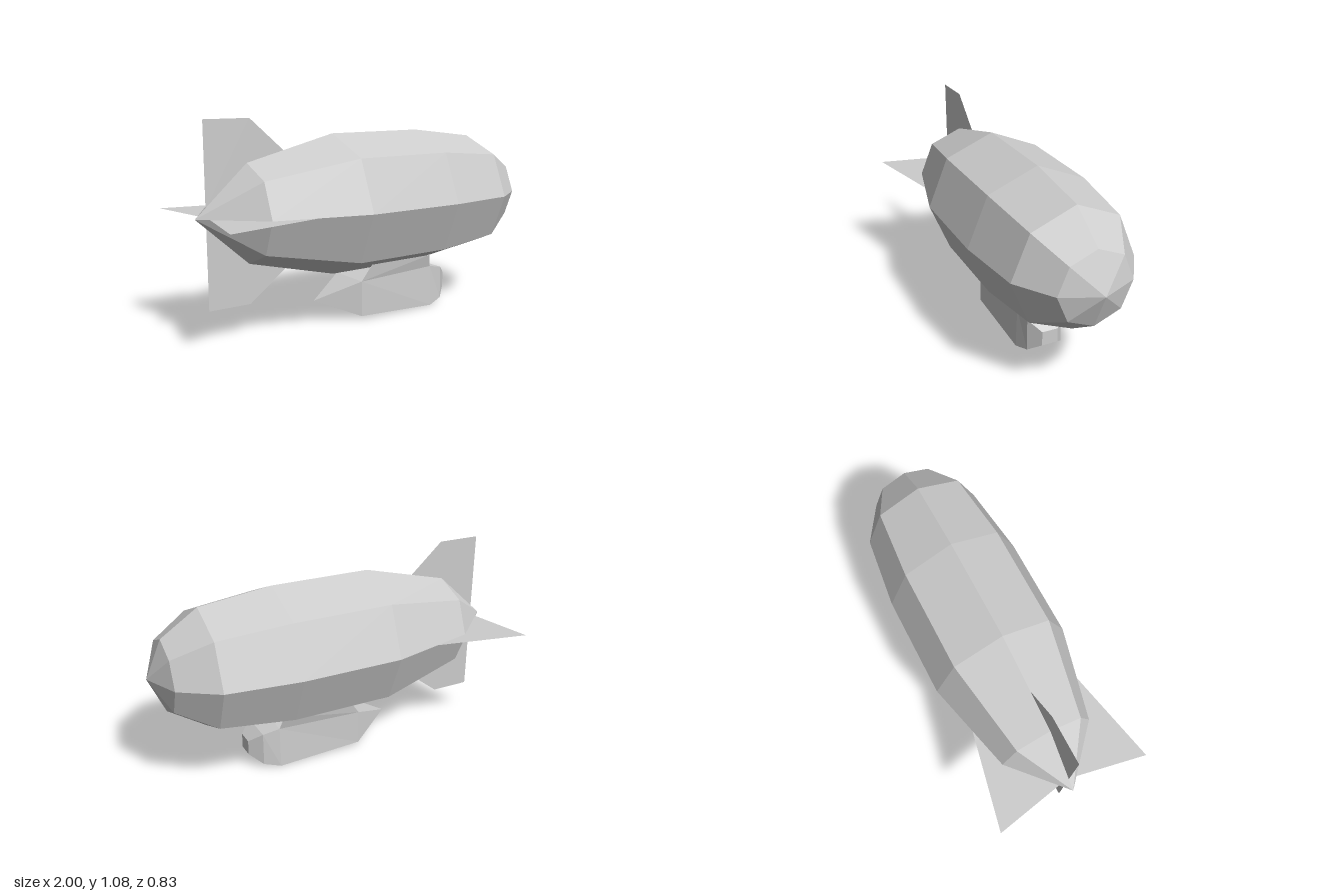
import * as THREE from 'three';

export function createModel() {
  const model = new THREE.Group();
  model.name = 'airship';
  const grey = new THREE.MeshStandardMaterial({ color: 0xcccccc, side: THREE.DoubleSide });
  grey.name = 'light grey';

  // Adds a faceted mesh
  const add = (name, geometry) => {
    const flat = geometry.index ? geometry.toNonIndexed() : geometry;
    flat.computeVertexNormals();
    const mesh = new THREE.Mesh(flat, grey);
    mesh.name = name;
    model.add(mesh);
    return mesh;
  };
  const fromCorners = (points, index) => {
    const g = new THREE.BufferGeometry();
    g.setAttribute('position', new THREE.Float32BufferAttribute(points.flat(), 3));
    g.setIndex(index);
    return g;
  };
  const plate = (points) =>
    new THREE.ShapeGeometry(new THREE.Shape(points.map(([x, y]) => new THREE.Vector2(x, y))));

  // Eight-sided hull: [radius, x] from tail to nose
  const profile = [[0, -0.985], [0.25, -0.71], [0.373, -0.22], [0.373, 0.33],
    [0.325, 0.72], [0.195, 0.915], [0, 1]].map(([r, x]) => new THREE.Vector2(r, x));
  add('hull', new THREE.LatheGeometry(profile, 8).rotateZ(-Math.PI / 2)).position.y = 0.615;

  // Flat tail fins
  add('upperFin', plate([[-0.93, 0.655], [-0.7, 0.85], [-0.5, 0.91], [-0.69, 1.08], [-0.93, 1.08]]));
  add('lowerFin', plate([[-0.93, 0.575], [-0.93, 0.16], [-0.71, 0.16], [-0.5, 0.32], [-0.7, 0.38]]));
  for (const [name, s] of [['leftFin', 1], ['rightFin', -1]]) {
    add(name, fromCorners(
      [[-0.93, 0.615, 0.05 * s], [-1, 0.615, 0.413 * s], [-0.49, 0.615, 0.305 * s]],
      s > 0 ? [0, 1, 2] : [0, 2, 1]));
  }

  // Gondola: square sections [x, bottom, top, lower half width, upper half width]
  const sections = [
    [-0.345, 0.115, 0.115, 0, 0],
    [-0.12, 0.02, 0.21, 0.12, 0.12],
    [0.355, 0, 0.225, 0.12, 0.112],
    [0.445, 0.025, 0.205, 0.098, 0.098],
    [0.51, 0.075, 0.155, 0.044, 0.044],
  ];
  const corners = sections.flatMap(([x, b, t, wb, wt]) =>
    [[x, b, wb], [x, b, -wb], [x, t, -wt], [x, t, wt]]);
  const index = [];
  for (let i = 0; i < sections.length - 1; i++) {
    for (let k = 0; k < 4; k++) {
      const a = i * 4 + k, b = i * 4 + (k + 1) % 4;
      index.push(a, b, b + 4, a, b + 4, a + 4);
    }
  }
  const end = (sections.length - 1) * 4;
  index.push(end, end + 1, end + 2, end, end + 2, end + 3);
  add('gondola', fromCorners(corners, index)).position.z = 0.004;

  // Splayed side panels joining the gondola to the hull
  for (const [name, s] of [['leftHanger', 1], ['rightHanger', -1]]) {
    add(name, fromCorners([
      [-0.12, 0.21, 0.12 * s], [0.355, 0.225, 0.112 * s],
      [0.335, 0.295, 0.13 * s], [-0.06, 0.295, 0.13 * s],
    ], s > 0 ? [0, 1, 2, 0, 2, 3] : [0, 2, 1, 0, 3, 2])).position.z = 0.004;
  }
  return model;
}
